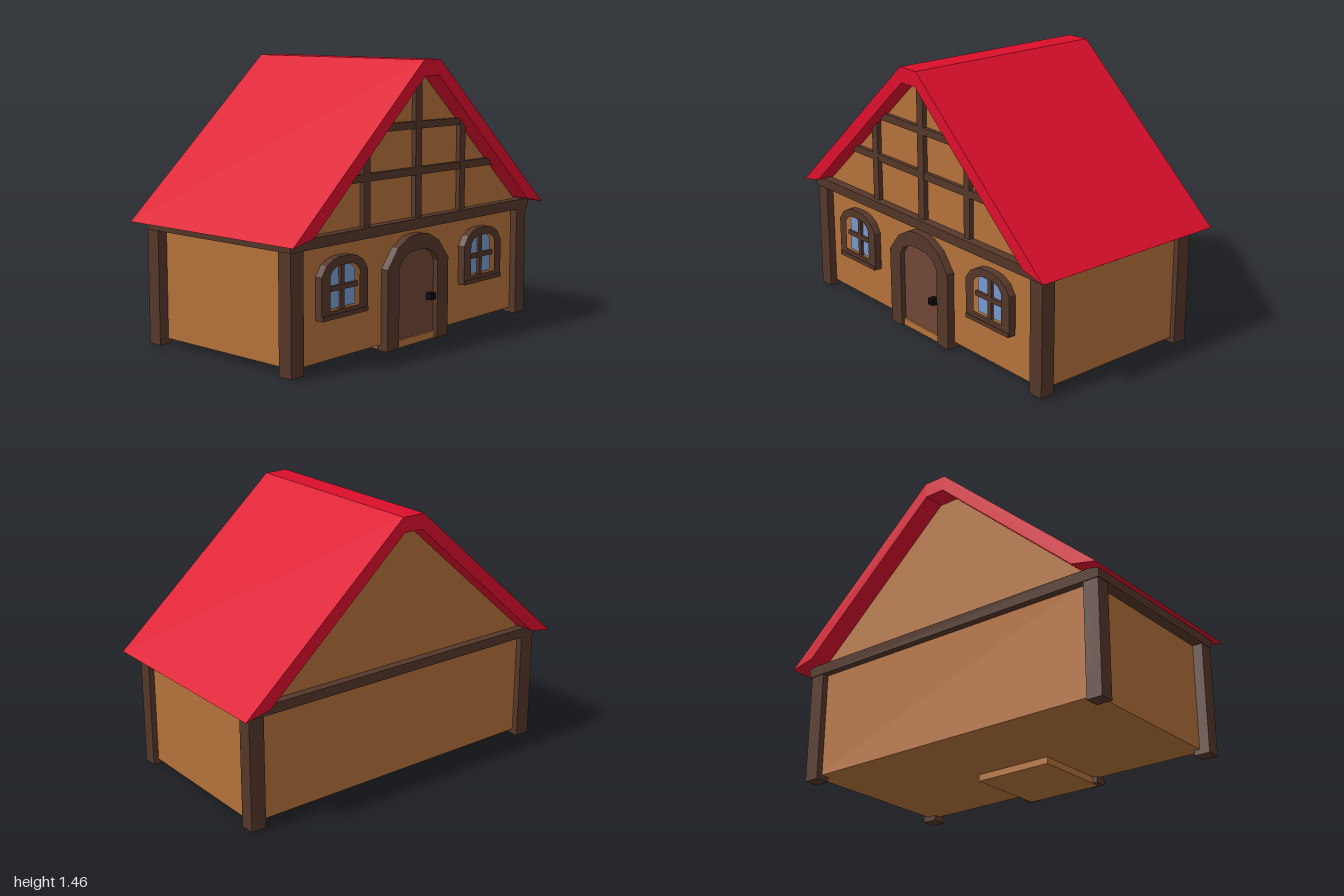
import * as THREE from 'three';

const paint = (color) => new THREE.MeshStandardMaterial({ color, flatShading: true });

export function createModel() {
  const house = new THREE.Group();
  house.name = 'house';
  const plaster = paint(0xb4713a), timber = paint(0x55372a), red = paint(0xdc0f2c);
  const doorWood = paint(0x704635), glass = paint(0x7799cc), iron = paint(0x0a0a0a);

  const add = (name, geometry, material, parent = house) => {
    const mesh = new THREE.Mesh(geometry, material);
    mesh.name = name;
    parent.add(mesh);
    return mesh;
  };

  // Box given by its limits on each axis
  const box = (name, material, [x0, x1], [y0, y1], [z0, z1], parent) => {
    const g = new THREE.BoxGeometry(x1 - x0, y1 - y0, z1 - z0);
    g.translate((x0 + x1) / 2, (y0 + y1) / 2, (z0 + z1) / 2);
    return add(name, g, material, parent);
  };

  // Outline of [z, y] points, extruded along x from x0 to x1
  const slab = (name, material, points, x0, x1, hole, parent) => {
    const toVectors = (list) => list.map(([z, y]) => new THREE.Vector2(-z, y));
    const shape = new THREE.Shape(toVectors(points));
    if (hole) shape.holes.push(new THREE.Path(toVectors(hole)));
    const g = new THREE.ExtrudeGeometry(shape, { depth: x1 - x0, bevelEnabled: false });
    g.rotateY(Math.PI / 2).translate(x0, 0, 0);
    return add(name, g, material, parent);
  };

  // Mirrors the right half of an outline, listed from bottom to top
  const mirrored = (half) => [...half, ...half.map(([z, y]) => [-z, y]).reverse()];

  // Walls, doorstep and gable
  box('walls', plaster, [-0.46, 0.475], [0.035, 0.63], [-0.9, 0.9]);
  box('doorstep', plaster, [0.05, 0.5], [0, 0.038], [-0.2, 0.245]);
  slab('gable', plaster, mirrored([[0.89, 0.64], [0.06, 1.385]]), -0.46, 0.475);

  // Roof with a flat ridge and tapered eaves
  slab('roof', red, [
    [1, 0.635], [0.065, 1.455], [-0.065, 1.455], [-1, 0.635],
    [-0.86, 0.665], [-0.055, 1.375], [0.055, 1.375], [0.86, 0.665],
  ], -0.575, 0.575);

  // Corner posts
  for (const x of [[-0.495, -0.415], [0.435, 0.515]])
    for (const z of [[0.87, 0.955], [-0.93, -0.845]])
      box('cornerPost', timber, x, [0.008, 0.605], z);

  // Eaves beams, slightly wider at the top
  const beams = box('eavesBeams', timber, [-0.505, 0.525], [0.6, 0.655], [-0.945, 0.965]);
  const p = beams.geometry.attributes.position;
  for (let i = 0; i < p.count; i++)
    if (p.getY(i) < 0.61) p.setXYZ(i, p.getX(i) * 0.99, p.getY(i), p.getZ(i) * 0.995);

  // Gable timber framing
  const framing = new THREE.Group();
  framing.name = 'gableFraming';
  house.add(framing);
  const front = [0.46, 0.5];
  box('kingPost', timber, front, [0.65, 1.385], [-0.015, 0.035], framing);
  box('leftStud', timber, front, [0.65, 1.11], [0.383, 0.43], framing);
  box('rightStud', timber, front, [0.65, 1.12], [-0.38, -0.335], framing);
  slab('lowerRail', timber, [[0.65, 0.875], [0.61, 0.913], [-0.59, 0.908], [-0.63, 0.868]],
    0.46, 0.498, null, framing);
  slab('upperRail', timber, [[0.38, 1.108], [0.335, 1.148], [-0.335, 1.14], [-0.38, 1.103]],
    0.46, 0.498, null, framing);

  // Arched windows
  for (const z of [0.583, -0.53]) {
    const win = new THREE.Group();
    win.name = 'window';
    win.position.z = z;
    house.add(win);
    const outer = mirrored([[0.165, 0.25], [0.165, 0.455], [0.13, 0.505], [0.085, 0.53], [0.04, 0.54]]);
    const inner = mirrored([[0.105, 0.285], [0.105, 0.455], [0.085, 0.48], [0.05, 0.497]]);
    slab('windowFrame', timber, outer, 0.46, 0.515, inner, win);
    slab('windowPane', glass, inner, 0.46, 0.485, null, win);
    box('mullion', timber, [0.47, 0.5], [0.28, 0.5], [-0.013, 0.013], win);
    box('transom', timber, [0.47, 0.5], [0.373, 0.398], [-0.11, 0.11], win);
    box('windowSill', timber, [0.46, 0.52], [0.243, 0.265], [-0.163, 0.163], win);
  }

  // Arched doorway
  const doorway = new THREE.Group();
  doorway.name = 'doorway';
  doorway.position.z = 0.025;
  house.add(doorway);
  const opening = [[0.155, 0.003], [0.155, 0.415], [0.125, 0.46], [0.07, 0.487], [0.03, 0.49]];
  const arch = [[0.245, 0.003], [0.245, 0.42], [0.165, 0.52], [0.08, 0.565], [0.03, 0.573]];
  const flip = (list) => list.map(([z, y]) => [-z, y]);
  slab('doorFrame', timber, [
    ...arch, ...flip(arch).reverse(), ...flip(opening), ...[...opening].reverse(),
  ], 0.45, 0.518, null, doorway);
  slab('door', doorWood, mirrored(opening), 0.45, 0.49, null, doorway);
  box('doorKnob', iron, [0.485, 0.528], [0.213, 0.248], [-0.13, -0.095], doorway);

  return house;
}
